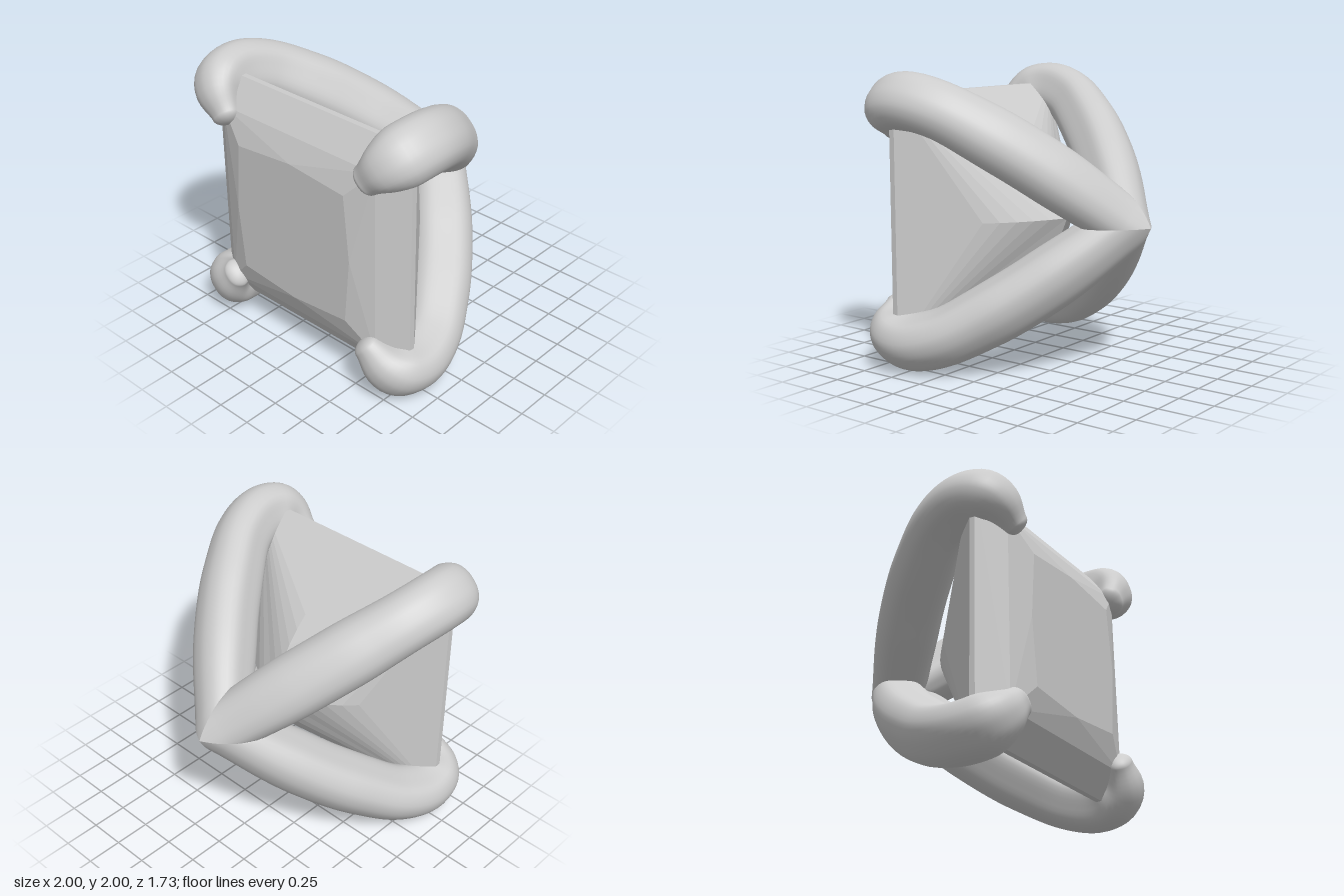
import * as THREE from 'three';

const GREY = () => new THREE.MeshStandardMaterial({ color: 0xcccccc });

// Square faceted stone: one quarter described facing +y, turned four times about z
function makeStone() {
  const pos = [];
  const centre = new THREE.Vector3(0, 0, 0.4);
  const zAxis = new THREE.Vector3(0, 0, 1);
  let turn = 0;
  const tri = (...pts) => {
    let [a, b, c] = pts.map(p => new THREE.Vector3(...p).applyAxisAngle(zAxis, turn));
    const n = b.clone().sub(a).cross(c.clone().sub(a));
    if (n.dot(a.clone().add(b).add(c).divideScalar(3).sub(centre)) < 0) [b, c] = [c, b];
    for (const p of [a, b, c]) pos.push(p.x, p.y, p.z);
  };
  const quad = (a, b, c, d) => { tri(a, b, c); tri(a, c, d); };

  const G = 0.853;
  const tableMid = [0, 0.51, 0.81];
  // middle line of each pavilion side, from the point to the main facet
  const keel = [[0, -0.21], [0.12, -0.158], [0.23, -0.1], [0.33, -0.035], [0.42, 0.038], [0.5, 0.12]];
  for (let k = 0; k < 4; k++) {
    turn = k * Math.PI / 2;
    for (const s of [-1, 1]) {
      const tableCorner = [s * 0.467, 0.467, 0.81];
      const kite = [s * 0.67, 0.67, 0.745];
      // table and star facets
      tri([0, 0, 0.81], tableMid, tableCorner);
      tri(tableMid, tableCorner, kite);
      // pavilion facets fanning out from the girdle corner
      for (let i = 1; i < keel.length; i++) {
        tri([s * G, G, 0.575], [0, ...keel[i - 1]], [0, ...keel[i]]);
      }
    }
    // crown, girdle and main pavilion facet
    tri(tableMid, [-0.67, 0.67, 0.745], [0.67, 0.67, 0.745]);
    quad([-0.67, 0.67, 0.745], [0.67, 0.67, 0.745], [G, G, 0.615], [-G, G, 0.615]);
    quad([-G, G, 0.615], [G, G, 0.615], [G, G, 0.575], [-G, G, 0.575]);
    tri([0, ...keel[keel.length - 1]], [-G, G, 0.575], [G, G, 0.575]);
  }
  const geo = new THREE.BufferGeometry();
  geo.setAttribute('position', new THREE.Float32BufferAttribute(pos, 3));
  geo.computeVertexNormals();
  const mat = GREY();
  mat.flatShading = true;
  const mesh = new THREE.Mesh(geo, mat);
  mesh.name = 'stone';
  return mesh;
}

// Prong: broad outside, flat flanks narrowing inwards, swept along a curve in the local xz plane
function makeProngGeometry() {
  const path = new THREE.CatmullRomCurve3([
    [0, -0.66], [0.23, -0.43], [0.45, -0.18], [0.61, 0.04], [0.745, 0.27], [0.8, 0.48],
    [0.785, 0.62], [0.73, 0.71], [0.62, 0.755],
  ].map(([s, z]) => new THREE.Vector3(s * Math.SQRT2, 0, z)));
  const half = [[0.175, 0.08], [0.13, 0.155], [0.03, 0.2], [-0.07, 0.165], [-0.165, 0.11], [-0.2, 0.05]];
  const outline = [[0.185, 0], ...half, [-0.205, 0], ...half.slice().reverse().map(([u, v]) => [u, -v])];
  const section = new THREE.CatmullRomCurve3(
    outline.map(([u, v]) => new THREE.Vector3(u, v, 0)), true).getPoints(48).slice(0, 48);
  // thickness along the prong: fuller in the middle, tapering to the claw
  const swell = t => THREE.MathUtils.lerp(0.95, 1.08, THREE.MathUtils.smoothstep(t, 0, 0.3))
    - 0.08 * THREE.MathUtils.smoothstep(t, 0.45, 0.7)
    - 0.5 * THREE.MathUtils.smoothstep(t, 0.86, 1.02);

  const M = section.length, N = 70, CAP = 10, capLength = 0.06;
  const pos = [], idx = [];
  for (let i = 0; i <= N + CAP; i++) {
    const t = Math.min(i / N, 1);
    const a = Math.max(0, i - N) / CAP * Math.PI / 2;
    const scale = i === N + CAP ? 0 : swell(t) * Math.cos(a);
    const p = path.getPointAt(t), T = path.getTangentAt(t);
    p.addScaledVector(T, capLength * Math.sin(a));
    for (const q of section) {
      let x = p.x + q.x * scale * T.z;
      let z = p.z - q.x * scale * T.x;
      const y = q.y * scale;
      // mitre against the neighbouring prongs at the back
      const gap = Math.abs(y) - x;
      if (i === 0 || (t < 0.5 && gap > 0)) {
        x += gap;
        z += gap * T.z / T.x;
      }
      pos.push(x, y, z);
    }
  }
  // the last ring is one shared point, closing the claw
  const tip = (N + CAP) * M;
  for (let i = 0; i < N + CAP; i++) {
    for (let j = 0; j < M; j++) {
      const a = i * M + j, b = i * M + (j + 1) % M;
      const c = Math.min(a + M, tip), d = Math.min(b + M, tip);
      idx.push(a, b, c, b, d, c);
    }
  }
  const geo = new THREE.BufferGeometry();
  geo.setAttribute('position', new THREE.Float32BufferAttribute(pos, 3));
  geo.setIndex(idx);
  geo.computeVertexNormals();
  return geo;
}

export function createModel() {
  const model = new THREE.Group();
  model.name = 'prongSetStone';
  const setting = new THREE.Group();
  setting.name = 'setting';
  setting.position.y = 1;
  model.add(setting);
  setting.add(makeStone());

  const geo = makeProngGeometry();
  const mat = GREY();
  mat.side = THREE.DoubleSide;
  ['upperLeftProng', 'upperRightProng', 'lowerRightProng', 'lowerLeftProng'].forEach((name, k) => {
    const prong = new THREE.Mesh(geo, mat);
    prong.name = name;
    prong.rotation.z = Math.PI / 4 + k * Math.PI / 2;
    setting.add(prong);
  });
  return model;
}
